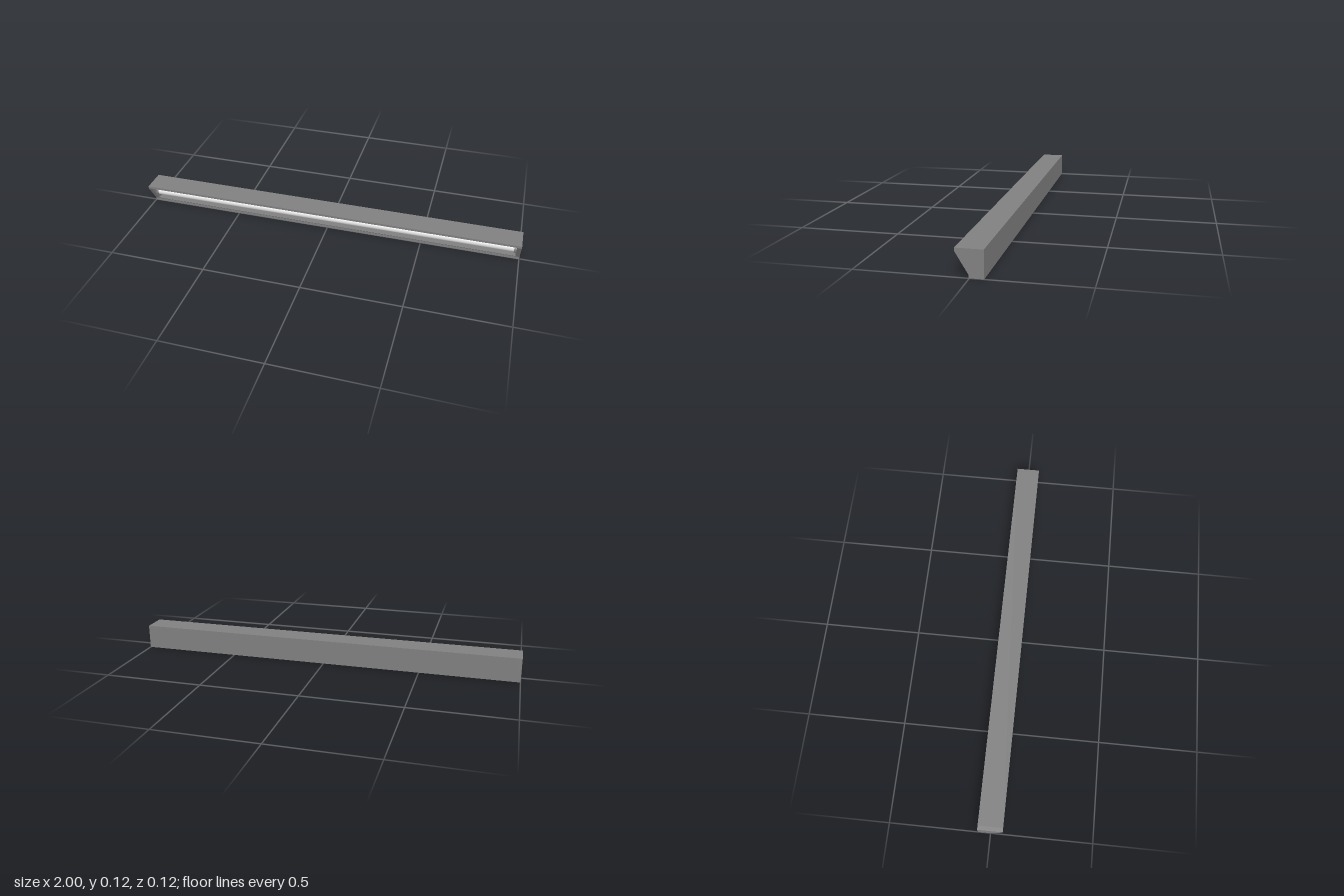
import * as THREE from 'three';

export function createModel() {
  const model = new THREE.Group();
  model.name = 'lightFixture';
  const metal = new THREE.MeshStandardMaterial({ color: 0x808080 });
  metal.name = 'grey metal';
  const white = new THREE.MeshStandardMaterial({ color: 0xf0f0f0 });
  white.name = 'white tube';

  const add = (name, geometry, material, x = 0, y = 0, z = 0) => {
    const mesh = new THREE.Mesh(geometry, material);
    mesh.name = name;
    mesh.position.set(x, y, z);
    model.add(mesh);
    return mesh;
  };

  // Sweep a [z, y] profile along x, centred on x = 0
  const sweep = (points, length) => {
    const shape = new THREE.Shape(points.map(([z, y]) => new THREE.Vector2(z, y)));
    return new THREE.ExtrudeGeometry(shape, { depth: length, bevelEnabled: false })
      .rotateY(-Math.PI / 2)
      .translate(length / 2, 0, 0);
  };

  const wall = 0.02;
  const outer = [[-0.061, 0], [0.003, 0], [0.003, 0.014], [0.061, 0.111], [0.061, 0.124], [-0.061, 0.124]];

  // Channel body, open along the slanted front
  const channel = [
    [-0.061, 0], [0.003, 0], [0.003, 0.014], [0.0054, 0.018],
    [-0.049, 0.018], [-0.049, 0.112], [0.061, 0.112], [0.061, 0.124], [-0.061, 0.124],
  ];
  add('housing', sweep(channel, 2 - 2 * wall), metal);

  // Solid end plates and lamp sockets
  for (const side of [-1, 1]) {
    add(side > 0 ? 'leftEndPlate' : 'rightEndPlate', sweep(outer, wall), metal, side * (1 - wall / 2));
    const socket = new THREE.CylinderGeometry(0.025, 0.025, 0.012, 24).rotateZ(Math.PI / 2);
    add(side > 0 ? 'leftSocket' : 'rightSocket', socket, metal, side * 0.974, 0.066, 0);
  }

  // Lamp tube
  const tube = new THREE.CylinderGeometry(0.021, 0.021, 1.94, 32).rotateZ(Math.PI / 2);
  add('lampTube', tube, white, 0, 0.066, 0);

  return model;
}
